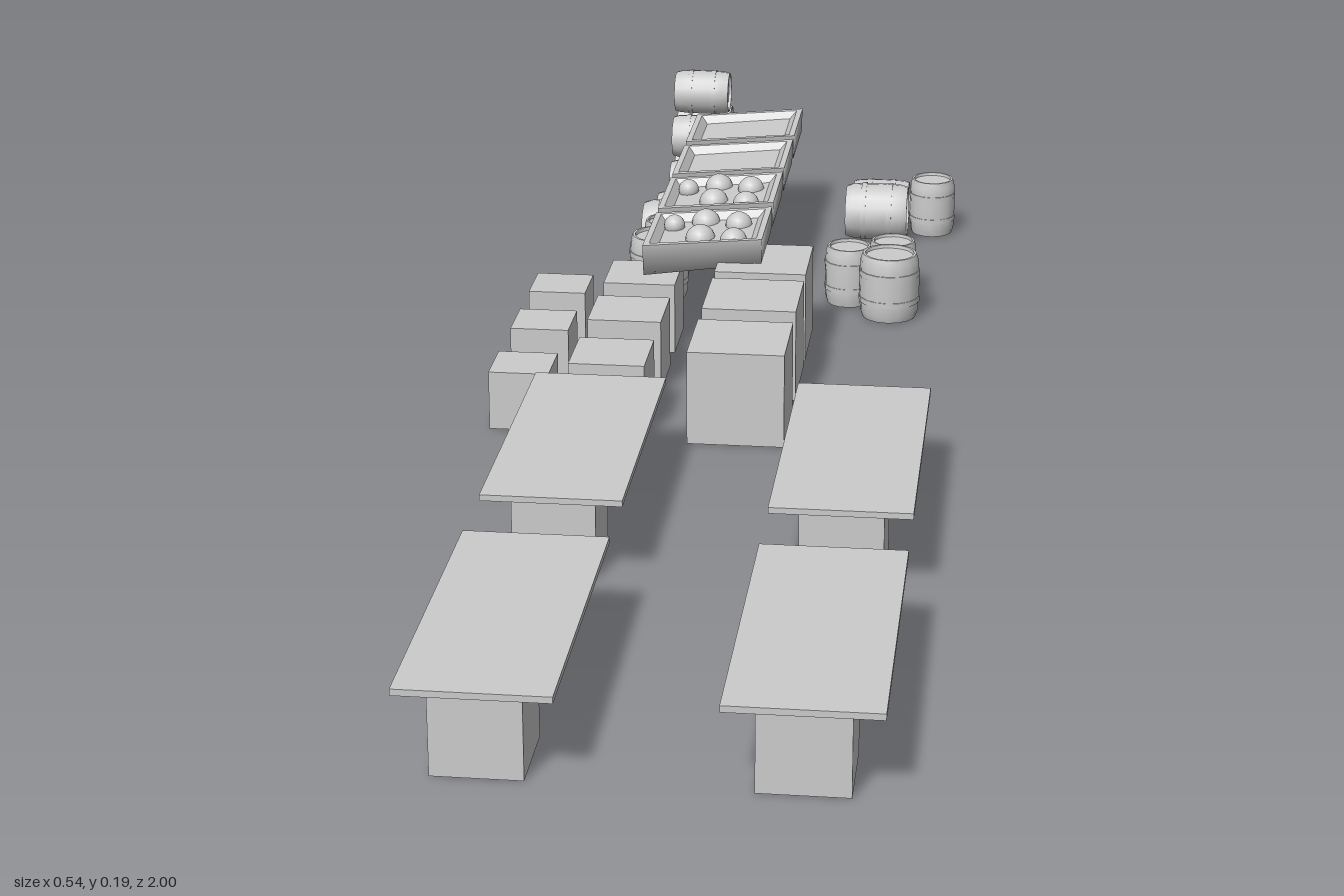
import * as THREE from 'three';
import { toCreasedNormals } from 'three/addons/utils/BufferGeometryUtils.js';

const grey = new THREE.MeshStandardMaterial({ color: 0xcccccc });

function add(parent, name, geometry, x, y, z) {
  const mesh = new THREE.Mesh(geometry, grey);
  mesh.name = name;
  mesh.position.set(x, y, z);
  parent.add(mesh);
  return mesh;
}

// A cube-shaped crate standing on the ground
function crate(parent, name, size, x, z) {
  add(parent, name, new THREE.BoxGeometry(size, size, size), x, size / 2, z);
}

// Plank table top resting on two crates
function table(x, z) {
  const g = new THREE.Group();
  g.name = 'table';
  add(g, 'tableTop', new THREE.BoxGeometry(0.157, 0.007, 0.377), x, 0.0955, z);
  for (const s of [-1, 1]) crate(g, 'tableLeg', 0.093, x, z + s * 0.126);
  return g;
}

// Bulging barrel with two hoops and recessed ends, centred on its own axis
function barrelGeometry(r, h) {
  const half = [[0, 0.45], [0.78, 0.45], [0.8, 0.5], [0.88, 0.5], [0.95, 0.4],
    [0.965, 0.25], [1, 0.25], [1, 0.17], [0.975, 0.17], [0.985, 0]];
  const lower = half.map(([a, b]) => new THREE.Vector2(a * r, -b * h));
  const upper = half.slice(0, -1).reverse().map(([a, b]) => new THREE.Vector2(a * r, b * h));
  return toCreasedNormals(new THREE.LatheGeometry([...lower, ...upper], 16), 0.6);
}
const smallBarrel = barrelGeometry(0.033, 0.08);
const bigBarrel = barrelGeometry(0.041, 0.088);

function barrel(parent, big, lying, x, z, y) {
  const r = big ? 0.041 : 0.033, h = big ? 0.088 : 0.08;
  const mesh = add(parent, 'barrel', big ? bigBarrel : smallBarrel, x, y ?? (lying ? r : h / 2), z);
  if (lying) mesh.rotation.z = Math.PI / 2;
}

// Four-cornered loops joined into a surface; each loop is [x0, x1, halfDepth, y at x0, y at x1]
function loft(loops, capFirst, capLast) {
  const pos = [], idx = [];
  for (const [x0, x1, d, y0, y1] of loops) pos.push(x0, y0, d, x1, y1, d, x1, y1, -d, x0, y0, -d);
  for (let l = 0; l < loops.length - 1; l++) {
    for (let i = 0; i < 4; i++) {
      const a = l * 4 + i, b = l * 4 + (i + 1) % 4;
      idx.push(a, b, b + 4, a, b + 4, a + 4);
    }
  }
  const n = (loops.length - 1) * 4;
  if (capFirst) idx.push(0, 2, 1, 0, 3, 2);
  if (capLast) idx.push(n, n + 1, n + 2, n, n + 2, n + 3);
  const g = new THREE.BufferGeometry();
  g.setAttribute('position', new THREE.Float32BufferAttribute(pos, 3));
  g.setIndex(idx);
  g.computeVertexNormals();
  return g;
}

// Sloping display tray, optionally filled with round goods
function tray(z, filled) {
  const g = new THREE.Group();
  g.name = 'displayTray';
  const rim = [-0.123, 0.033, 0.07, 0.138, 0.152];
  add(g, 'trayShell', loft([[-0.122, 0.032, 0.068, 0.097, 0.118], rim], true, false), 0, 0, z);
  const inset = loft([rim, [-0.115, 0.025, 0.062, 0.139, 0.151], [-0.106, 0.016, 0.053, 0.129, 0.141]], false, true);
  add(g, 'trayInset', toCreasedNormals(inset, 0.3), 0, 0, z);
  if (filled) {
    const goods = [[-0.093, -0.03, 0.014], [-0.053, -0.048, 0.019], [-0.007, -0.028, 0.018],
      [-0.053, 0.018, 0.02], [-0.007, 0.04, 0.018]];
    for (const [x, dz, r] of goods) {
      add(g, 'roundGoods', new THREE.SphereGeometry(r, 16, 10), x, 0.157 - r + x * 0.09, z + dz);
    }
  }
  return g;
}

export function createModel() {
  const model = new THREE.Group();
  model.name = 'marketGoods';

  // Four tables in two rows
  for (const x of [-0.1235, 0.1915]) for (const z of [0.8115, 0.338]) model.add(table(x, z));

  // Three rows of crates in three sizes
  for (const z of [0.053, -0.104, -0.246]) {
    crate(model, 'largeCrate', 0.118, 0.034, z);
    crate(model, 'mediumCrate', 0.093, -0.1245, z);
    crate(model, 'smallCrate', 0.074, -0.234, z);
  }

  // Line of trays, the front two filled
  [-0.292, -0.45, -0.607, -0.765].forEach((z, i) => model.add(tray(z, i < 2)));

  // Pyramid of six lying barrels
  const pile = new THREE.Group();
  pile.name = 'barrelPile';
  for (let row = 0; row < 3; row++) {
    for (let i = 0; i < 3 - row; i++) {
      barrel(pile, false, true, -0.122, -0.967 + row * 0.0325 + i * 0.065, 0.034 + row * 0.06);
    }
  }
  model.add(pile);

  // Loose barrels: [big, lying, x, z]
  const loose = [
    [true, false, -0.127, -0.423], [false, false, -0.127, -0.512],
    [true, true, -0.126, -0.592], [false, true, -0.122, -0.685],
    [false, false, 0.132, -0.428], [false, false, 0.19, -0.456], [true, false, 0.19, -0.378],
    [true, true, 0.153, -0.702], [false, true, 0.155, -0.775], [false, false, 0.23, -0.745],
  ];
  for (const b of loose) barrel(model, ...b);

  return model;
}
